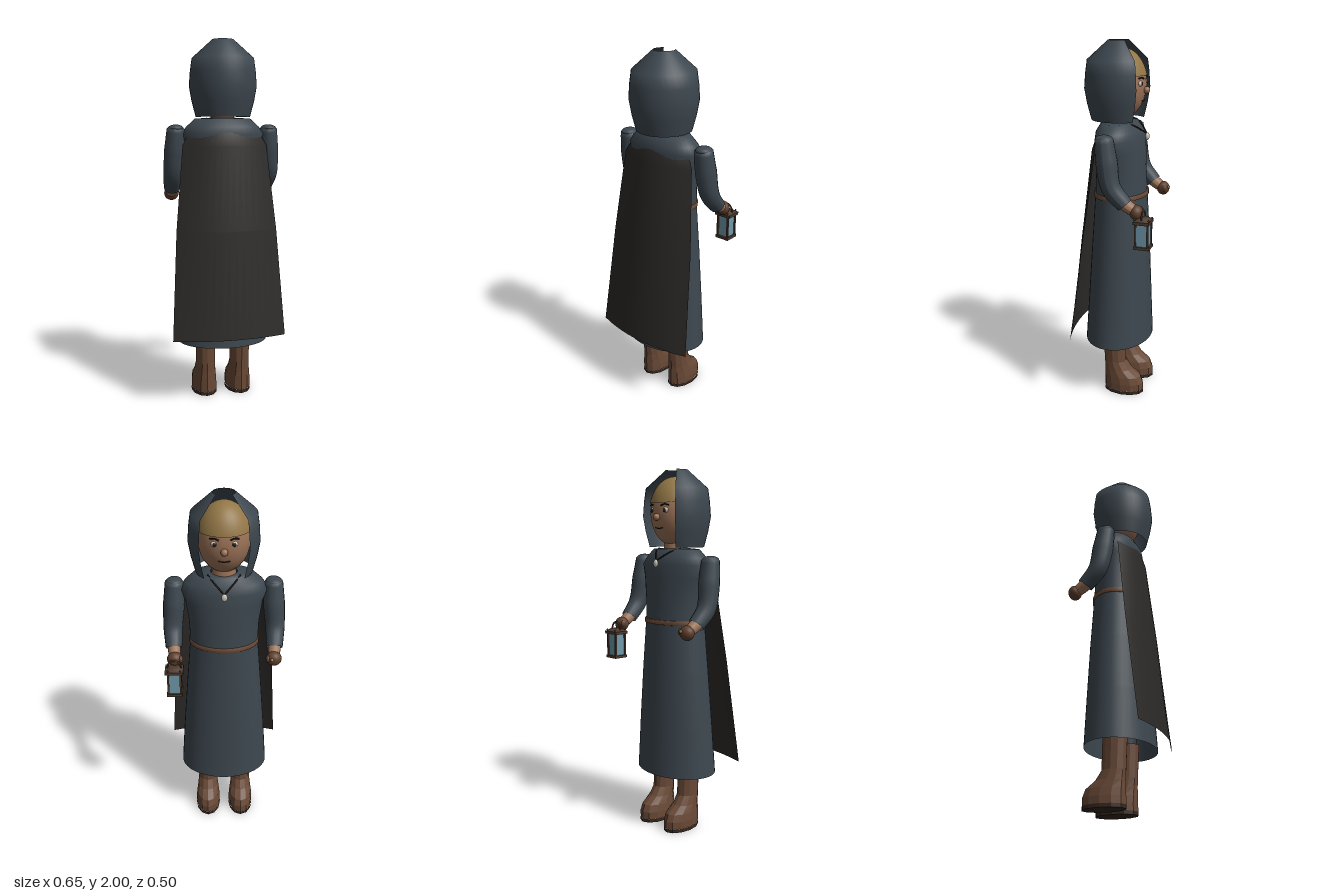
import * as THREE from 'three';

const mat = (color, opts = {}) => {
  const m = new THREE.MeshStandardMaterial({ color });
  return Object.assign(m, opts);
};
const both = { side: THREE.DoubleSide };
const robe = mat(0x3d474f, both);
const cloak = mat(0x2c2a28, both);
const skin = mat(0x9c7358);
const hairMat = mat(0x927646);
const leather = mat(0x694936, { flatShading: true });
const strap = mat(0x6b4a35);
const glove = mat(0x5e402e);
const iron = mat(0x4c392d);
const glass = mat(0x7199ab);
const dark = mat(0x1f1b1a);
const pale = mat(0xc9c4b8);
const trousers = mat(0x343d44);

function add(parent, name, geo, material, x = 0, y = 0, z = 0) {
  const m = new THREE.Mesh(geo, material);
  m.name = name;
  m.position.set(x, y, z);
  parent.add(m);
  return m;
}

function ball(parent, name, material, r, x, y, z, sx = 1, sy = 1, sz = 1) {
  const m = add(parent, name, new THREE.SphereGeometry(r, 20, 14), material, x, y, z);
  m.scale.set(sx, sy, sz);
  return m;
}

// Surface through horizontal ellipses [y, centreZ, radiusX, radiusZ], listed upwards
function loft(rings, n) {
  const pos = [], idx = [];
  rings.forEach(([y, cz, rx, rz], i) => {
    for (let j = 0; j < n; j++) {
      const a = (j / n) * Math.PI * 2, k = (j + 1) % n;
      pos.push(rx * Math.cos(a), y, cz + rz * Math.sin(a));
      if (i < rings.length - 1) {
        const p = i * n + j, q = i * n + k;
        idx.push(p, p + n, q, q, p + n, q + n);
      }
    }
  });
  const g = new THREE.BufferGeometry();
  g.setAttribute('position', new THREE.Float32BufferAttribute(pos, 3));
  g.setIndex(idx);
  g.computeVertexNormals();
  return g;
}

// Tube along points [x, y, z, radius] with a changing radius
function limb(points, seg = 20, sides = 16) {
  const curve = new THREE.CatmullRomCurve3(points.map(p => new THREE.Vector3(p[0], p[1], p[2])));
  const g = new THREE.TubeGeometry(curve, seg, 1, sides);
  const p = g.attributes.position, v = new THREE.Vector3();
  for (let i = 0; i <= seg; i++) {
    const c = curve.getPointAt(i / seg);
    const t = curve.getUtoTmapping(i / seg) * (points.length - 1);
    const k = Math.min(Math.floor(t), points.length - 2);
    const r = THREE.MathUtils.lerp(points[k][3], points[k + 1][3], t - k);
    for (let j = 0; j <= sides; j++) {
      const n = i * (sides + 1) + j;
      v.fromBufferAttribute(p, n).sub(c).multiplyScalar(r).add(c);
      p.setXYZ(n, v.x, v.y, v.z);
    }
  }
  g.computeVertexNormals();
  return g;
}

function cord(points, r) {
  const c = new THREE.CatmullRomCurve3(points.map(p => new THREE.Vector3(...p)));
  return new THREE.TubeGeometry(c, 24, r, 6);
}

function makeCape() {
  // rows: height, half width, z in the middle, z at the side edge
  const rows = [[1.575, 0.15, 0.10, 0.03], [1.51, 0.19, 0.127, 0.05], [1.43, 0.235, 0.15, 0.07],
    [0.97, 0.28, 0.2, 0.125], [0.38, 0.315, 0.25, 0.2]];
  const n = 14, g = new THREE.PlaneGeometry(2, 1, n, rows.length - 1), p = g.attributes.position;
  for (let i = 0; i < p.count; i++) {
    const [y, w, mid, edge] = rows[Math.floor(i / (n + 1))], u = p.getX(i);
    p.setXYZ(i, u * w, y, mid + (edge - mid) * u * u);
  }
  g.computeVertexNormals();
  return g;
}

function makeLantern() {
  const l = new THREE.Group();
  l.name = 'lantern';
  const w = 0.084;
  add(l, 'lanternBase', new THREE.BoxGeometry(w, 0.015, w), iron, 0, 0.008, 0);
  add(l, 'lanternGlass', new THREE.BoxGeometry(w * 0.74, 0.13, w * 0.74), glass, 0, 0.075, 0);
  for (const x of [-1, 1]) for (const z of [-1, 1]) {
    add(l, 'lanternPost', new THREE.BoxGeometry(0.01, 0.13, 0.01), iron, x * 0.033, 0.075, z * 0.033);
    ball(l, 'lanternStud', iron, 0.005, x * 0.033, 0.16, z * 0.038);
  }
  add(l, 'lanternLid', new THREE.BoxGeometry(w + 0.014, 0.016, w), iron, 0, 0.145, 0);
  const roof = add(l, 'lanternRoof', new THREE.CylinderGeometry(0.03, 0.055, 0.016, 4), iron, 0, 0.161, 0);
  roof.rotation.y = Math.PI / 4;
  const ring = add(l, 'lanternHandle', new THREE.TorusGeometry(0.036, 0.0045, 8, 24, Math.PI), iron, 0, 0.16, 0);
  ring.scale.y = 1.2;
  return l;
}

export function createModel() {
  const model = new THREE.Group();
  model.name = 'hoodedTraveller';

  // Robe: open skirt, belt and bodice
  add(model, 'skirt', loft([[0.32, 0.01, 0.253, 0.188], [0.6, 0.006, 0.234, 0.173],
    [0.9, 0.002, 0.21, 0.157], [1.18, 0, 0.186, 0.14]], 40), robe);
  add(model, 'bodice', loft([[1.18, 0, 0.186, 0.14], [1.3, 0, 0.19, 0.132], [1.42, 0.003, 0.207, 0.13],
    [1.49, 0.006, 0.233, 0.124], [1.53, 0.01, 0.205, 0.118], [1.575, 0.01, 0.155, 0.092], [1.58, 0.01, 0.07, 0.06]], 40), robe);
  add(model, 'belt', loft([[1.168, 0, 0.186, 0.14], [1.17, 0, 0.192, 0.147], [1.192, 0, 0.192, 0.147],
    [1.194, 0, 0.185, 0.138]], 40), strap);
  add(model, 'cape', makeCape(), cloak);

  // Head and face
  add(model, 'neck', new THREE.CylinderGeometry(0.06, 0.068, 0.1, 20), skin, 0, 1.6, 0.005);
  ball(model, 'head', skin, 1, 0, 1.77, 0, 0.138, 0.182, 0.133);
  const hair = add(model, 'hair', new THREE.SphereGeometry(1, 32, 16, 0, Math.PI * 2, 0, 1.3), hairMat, 0, 1.77, 0);
  hair.scale.set(0.145, 0.192, 0.139);
  hair.material.side = THREE.DoubleSide;
  ball(model, 'nose', skin, 0.019, 0, 1.745, -0.138);
  add(model, 'mouth', cord([[-0.03, 1.69, -0.117], [0, 1.686, -0.121], [0.03, 1.69, -0.117]], 0.003), dark);
  for (const s of [-1, 1]) {
    ball(model, 'eye', pale, 0.017, s * 0.05, 1.782, -0.117, 1, 0.9, 0.7);
    ball(model, 'pupil', dark, 0.01, s * 0.049, 1.781, -0.126, 1, 1, 0.6);
    add(model, 'eyebrow', cord([[s * 0.028, 1.806, -0.131], [s * 0.05, 1.813, -0.125], [s * 0.073, 1.808, -0.114]], 0.004), dark);
  }

  // Hood with an open front and a hole at the crown
  const profile = [[0.15, 1.585], [0.172, 1.67], [0.186, 1.75], [0.18, 1.83], [0.17, 1.9], [0.058, 2]];
  add(model, 'hood', new THREE.LatheGeometry(profile.map(p => new THREE.Vector2(...p)), 28,
    0.75 - Math.PI, 2 * Math.PI - 1.5), robe, 0, 0, 0.015);

  // Necklace
  for (const s of [-1, 1]) {
    add(model, 'necklaceCord', cord([[s * 0.085, 1.58, -0.04], [s * 0.06, 1.565, -0.085], [0, 1.515, -0.143]], 0.004), dark);
  }
  ball(model, 'pendant', pale, 0.016, 0, 1.5, -0.145, 1, 1.3, 0.7);

  // Arms, gloved fists, legs and boots
  for (const s of [-1, 1]) {
    add(model, 'sleeve', limb([[s * 0.262, 1.54, 0.008, 0.02], [s * 0.262, 1.525, 0.008, 0.048],
      [s * 0.267, 1.4, -0.008, 0.058], [s * 0.275, 1.27, -0.035, 0.052], [s * 0.27, 1.185, -0.108, 0.044]]), robe);
    ball(model, 'shoulderCap', robe, 0.043, s * 0.262, 1.522, 0.008, 1, 0.5, 1.1);
    add(model, 'wrist', limb([[s * 0.272, 1.21, -0.08, 0.036], [s * 0.268, 1.18, -0.12, 0.034],
      [s * 0.266, 1.16, -0.15, 0.031]], 8), skin);
    ball(model, 'fist', glove, 0.04, s * 0.264, 1.15, -0.168, 1.05, 1, 0.9);
    ball(model, 'thumb', glove, 0.016, s * 0.232, 1.155, -0.18, 0.8, 1.3, 1.2);
    const leg = new THREE.Group();
    leg.name = 'leg';
    leg.position.x = s * 0.1;
    model.add(leg);
    add(leg, 'trouserLeg', new THREE.CylinderGeometry(0.06, 0.05, 0.6, 16), trousers, 0, 0.62, 0.01);
    add(leg, 'boot', loft([[0.02, -0.048, 0.072, 0.117], [0.06, -0.048, 0.072, 0.117], [0.1, -0.04, 0.068, 0.109],
      [0.14, -0.014, 0.061, 0.081], [0.19, 0.004, 0.056, 0.065], [0.37, 0.01, 0.059, 0.067], [0.37, 0.01, 0, 0]], 12), leather);
    add(leg, 'sole', loft([[0, -0.048, 0, 0], [0, -0.048, 0.073, 0.118], [0.02, -0.048, 0.073, 0.118]], 12),
      mat(0x35271f, { flatShading: true }));
  }
  ball(model, 'fingerRing', hairMat, 0.009, -0.252, 1.16, -0.202);

  const lantern = makeLantern();
  lantern.position.set(0.267, 0.96, -0.207);
  model.add(lantern);
  return model;
}
